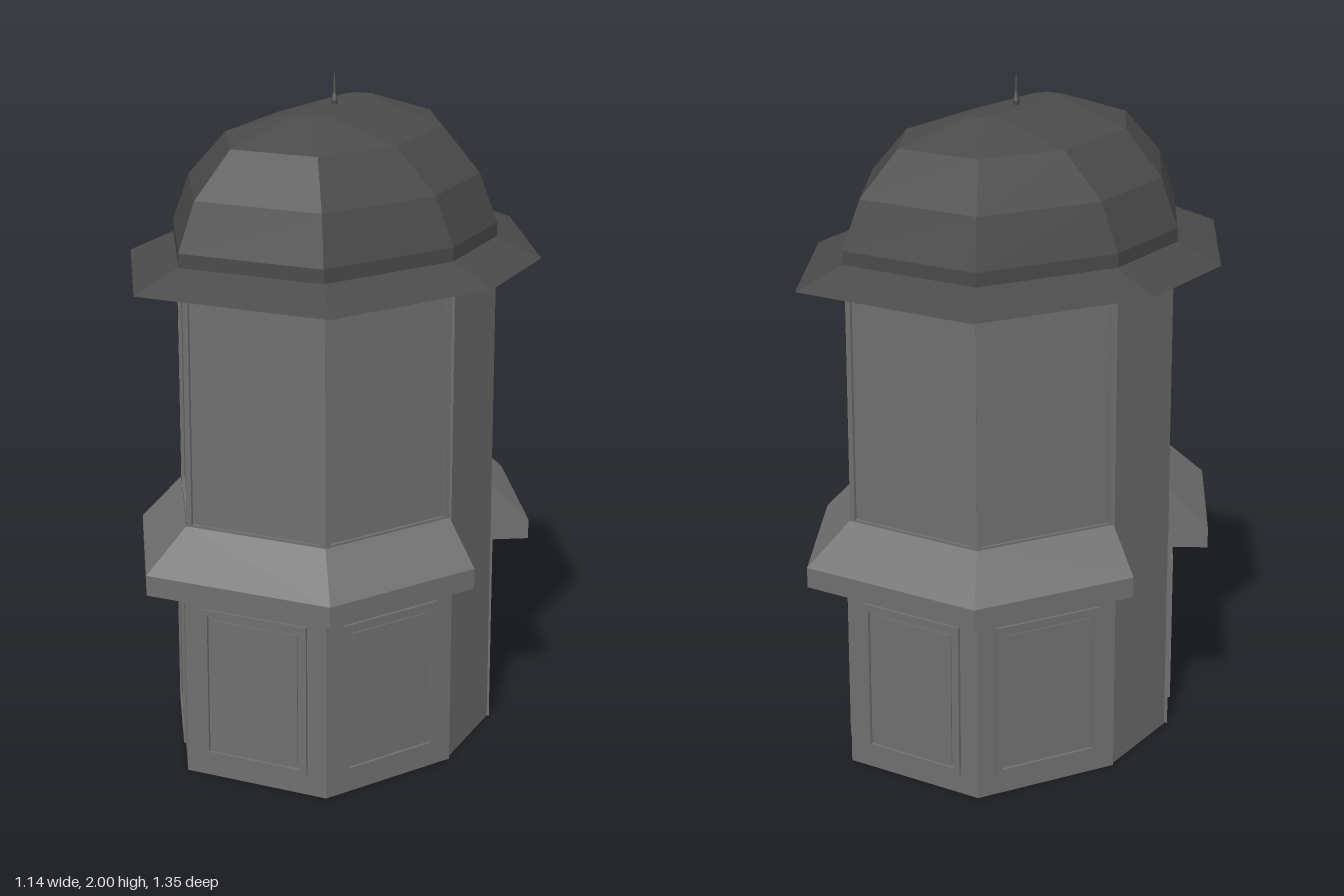
import * as THREE from 'three';

const H = Math.sin(Math.PI / 3);
const wallPaint = new THREE.MeshStandardMaterial({ color: 0x707070, flatShading: true });
const roofPaint = new THREE.MeshStandardMaterial({ color: 0x4b4b4b, flatShading: true, side: THREE.DoubleSide });

function add(parent, name, geometry, x = 0, y = 0, z = 0, material = wallPaint) {
  const mesh = new THREE.Mesh(geometry, material);
  mesh.name = name;
  mesh.position.set(x, y, z);
  parent.add(mesh);
}

// Skin a row of closed cross-sections, capping the ends on request
function loft(rings, capStart, capEnd) {
  const out = [];
  const tri = (a, b, c) => out.push(...a, ...b, ...c);
  for (let i = 0; i + 1 < rings.length; i++) {
    const n = rings[i].length;
    for (let j = 0; j < n; j++) {
      const k = (j + 1) % n;
      tri(rings[i][j], rings[i][k], rings[i + 1][k]);
      tri(rings[i][j], rings[i + 1][k], rings[i + 1][j]);
    }
  }
  const first = rings[0], last = rings[rings.length - 1];
  for (let j = 1; j + 1 < first.length; j++) {
    if (capStart) tri(first[0], first[j + 1], first[j]);
    if (capEnd) tri(last[0], last[j], last[j + 1]);
  }
  const geometry = new THREE.BufferGeometry();
  geometry.setAttribute('position', new THREE.Float32BufferAttribute(out, 3));
  geometry.computeVertexNormals();
  return geometry;
}

// Half hexagon footprint of a bay, from its right end round to its left end
const halfHex = (r, y) => [[-r, y, 0], [-r / 2, y, r * H], [r / 2, y, r * H], [r, y, 0]];
const bayPrism = (r, y0, y1) => loft([halfHex(r, y0), halfHex(r, y1)], true, true);

// Stretched octagon used for the roof
const octagon = (x, xFront, zSide, zFront, y) => [
  [x, y, zSide], [x, y, -zSide], [xFront, y, -zFront], [-xFront, y, -zFront],
  [-x, y, -zSide], [-x, y, zSide], [-xFront, y, zFront], [xFront, y, zFront],
];

function frameGeometry(w, h, border, depth) {
  const rect = (Type, a, b) => new Type([
    new THREE.Vector2(-a, -b), new THREE.Vector2(a, -b), new THREE.Vector2(a, b), new THREE.Vector2(-a, b)]);
  const shape = rect(THREE.Shape, w / 2, h / 2);
  shape.holes.push(rect(THREE.Path, w / 2 - border, h / 2 - border));
  return new THREE.ExtrudeGeometry(shape, { depth, bevelEnabled: false });
}

function makeBay(name) {
  const bay = new THREE.Group();
  bay.name = name;
  add(bay, 'bayBase', bayPrism(0.447, 0, 0.58));
  add(bay, 'windowPanes', bayPrism(0.425, 0.58, 1.46));

  // Sloping ledge swept round the three faces
  const r = 0.437;
  const profile = [[0, 0.76], [0.118, 0.64], [0.118, 0.58], [0, 0.58]];
  const corners = [[-r, 0, -H, 0.5], [-r / 2, r * H, -0.577, 1], [r / 2, r * H, 0.577, 1], [r, 0, H, 0.5]];
  const rings = corners.map(([x, z, dx, dz]) => profile.map(([o, y]) => [x + dx * o, y, z + dz * o]));
  add(bay, 'ledge', loft(rings, true, true));

  // Window frames and panel mouldings on each face
  const windowFrame = frameGeometry(0.435, 0.71, 0.016, 0.01);
  const moulding = frameGeometry(0.33, 0.46, 0.017, 0.009);
  const innerPanel = new THREE.BoxGeometry(0.27, 0.4, 0.008);
  for (const turn of [-1, 0, 1]) {
    const face = new THREE.Group();
    face.name = 'bayFace';
    face.rotation.y = turn * Math.PI / 3;
    add(face, 'windowFrame', windowFrame, 0, 1.105, 0.425 * H - 0.001);
    add(face, 'panelMoulding', moulding, 0, 0.29, 0.447 * H);
    add(face, 'raisedPanel', innerPanel, 0, 0.29, 0.447 * H);
    bay.add(face);
  }
  return bay;
}

export function createModel() {
  const model = new THREE.Group();
  model.name = 'kiosk';

  // Plain middle section
  add(model, 'middleWall', new THREE.BoxGeometry(0.88, 1.46, 0.323), 0, 0.73, -0.0085);

  // Matching bays front and back
  const front = makeBay('frontBay');
  front.position.z = 0.16;
  const back = makeBay('backBay');
  back.rotation.y = Math.PI;
  back.position.z = -0.17;
  model.add(front, back);

  // Eave and faceted dome
  const dome = [[0.44, 1.52], [0.44, 1.56], [0.385, 1.7], [0.265, 1.83], [0.05, 1.9]]
    .map(([r, y]) => octagon(r, r / 2, 0.17, 0.17 + r * H, y));
  const eave = octagon(0.568, 0.293, 0.2, 0.675, 1.46);
  add(model, 'eave', loft([eave, dome[0]]), 0, 0, 0, roofPaint);
  add(model, 'dome', loft(dome, false, true), 0, 0, 0, roofPaint);

  // Finial
  const spike = [[0, 0], [0.008, 0], [0.01, 0.012], [0.005, 0.035], [0.004, 0.06], [0, 0.1]]
    .map(([x, y]) => new THREE.Vector2(x, y));
  add(model, 'finial', new THREE.LatheGeometry(spike, 8), 0, 1.9, 0, roofPaint);

  return model;
}
